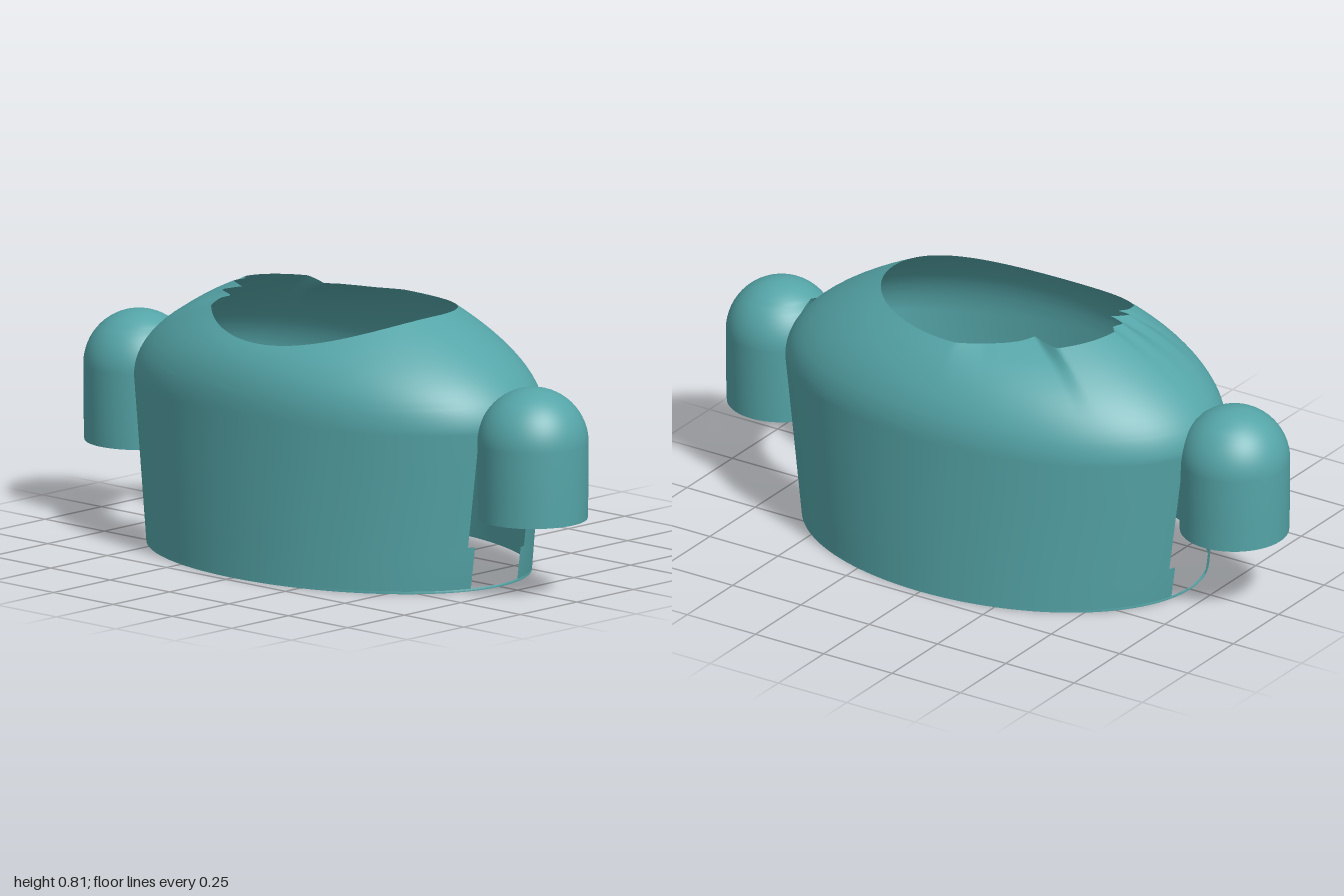
import * as THREE from 'three';
import { mergeVertices, mergeGeometries } from 'three/addons/utils/BufferGeometryUtils.js';

const material = new THREE.MeshStandardMaterial({ color: 0x55a5a8, side: THREE.DoubleSide });
const lerp = THREE.MathUtils.lerp;

// Surface through rows of points; rows go up, columns go round, faces point outward
function surface(rows, columns, point) {
  const positions = [], index = [];
  for (let r = 0; r < rows; r++)
    for (let c = 0; c <= columns; c++) positions.push(...point(r, c / columns));
  for (let r = 0; r < rows - 1; r++)
    for (let c = 0; c < columns; c++) {
      const a = r * (columns + 1) + c, b = a + columns + 1;
      index.push(a, b, a + 1, a + 1, b, b + 1);
    }
  const geometry = new THREE.BufferGeometry();
  geometry.setAttribute('position', new THREE.Float32BufferAttribute(positions, 3));
  geometry.setIndex(index);
  return geometry;
}

// Torn stretch of the neckline: angle in degrees, fraction of the full opening
const tears = [[140, 1], [148, 0.94], [152, 0.86], [158, 0.97], [165, 0.84], [172, 0.98], [178, 0.94],
  [183, 1], [220, 1], [225, 0.72], [235, 0.79], [255, 0.89], [268, 1]];
function tear(degrees) {
  for (let i = 1; i < tears.length; i++) {
    const [a0, f0] = tears[i - 1], [a1, f1] = tears[i];
    if (degrees >= a0 && degrees <= a1) return lerp(f0, f1, (degrees - a0) / (a1 - a0));
  }
  return 1;
}

// Rows of the straight wall: height, armhole edge towards front, towards back
const wallRows = [
  [0, 0, 0], [0.008, 0, 0], [0.008, 0.11, 0.088], [0.11, 0.11, 0.088], [0.11, 0.11, 0.11],
  [0.14, 0.11, 0.11], [0.14, 0.132, 0.11], [0.24, 0.132, 0.11], [0.36, 0.132, 0.11],
].map(([y, front, back]) => ({ y, t: 0, front, back }));

// Rows of the shoulder curve, over which the armhole closes in an arch
const shoulderRows = [0, 0.06, 0.12, 0.18, 0.23, 0.27, 0.3, 0.36, 0.43, 0.5, 0.58, 0.66, 0.74, 0.82, 0.88, 0.94, 1].map(t => {
  const arch = Math.sqrt(Math.max(0, 1 - (t / 0.3) ** 2));
  return { y: 0.5, t, front: 0.132 * arch, back: 0.11 * arch };
});
const bodyRows = [...wallRows, ...shoulderRows];

// Front or back half of the body shell
function bodyHalf(front) {
  return surface(bodyRows.length, 120, (r, u) => {
    const row = bodyRows[r], { y, t } = row;
    const halfWidth = 0.677 + 0.14 * y, halfDepth = 0.47 - 0.03 * y;
    const edge = Math.asin((front ? row.front : row.back) / halfDepth);
    const angle = lerp(edge, Math.PI - edge, u) + (front ? 0 : Math.PI);
    const cos = Math.cos(angle), sin = Math.sin(angle);
    // quadratic curve from the wall to the neckline
    const k = t * t;
    const rimY = 0.805 - (front ? 0.09 : 0.028) * sin * sin;
    const shrink = 1 - (1 - tear(angle * 180 / Math.PI)) * t ** 8;
    const x = cos * lerp(halfWidth, 0.41, k) * shrink;
    const z = sin * lerp(halfDepth, front ? 0.367 : 0.3, k) * shrink;
    const height = (1 - t) ** 2 * y + 2 * t * (1 - t) * 0.645 + k * rimY;
    return [x, t ? height : y, z];
  });
}

// Short domed sleeve, open below and on the side that meets the body
function sleeve(side) {
  const radius = 0.17, centreX = 0.829, domeY = 0.475;
  const rows = [[0.24, 0.167], [0.32, 0.169], [0.4, 0.17]];
  for (let i = 0; i <= 16; i++) {
    const a = i / 16 * Math.PI / 2;
    rows.push([domeY + radius * Math.sin(a), radius * Math.cos(a)]);
  }
  return surface(rows.length, 64, (r, u) => {
    const [y, rad] = rows[r];
    const reach = centreX - (0.685 + 0.09 * (y - 0.24));
    const half = rad > reach ? Math.PI - Math.acos(reach / rad) : Math.PI;
    const phi = side * lerp(-half, half, u);
    return [side * (centreX + rad * Math.cos(phi)), y, 0.014 + rad * Math.sin(phi)];
  });
}

function addPart(group, name, geometry) {
  const welded = mergeVertices(geometry, 1e-4);
  welded.computeVertexNormals();
  const mesh = new THREE.Mesh(welded, material);
  mesh.name = name;
  group.add(mesh);
}

export function createModel() {
  const group = new THREE.Group();
  group.name = 'upperGarment';
  addPart(group, 'bodyShell', mergeGeometries([bodyHalf(true), bodyHalf(false)]));
  addPart(group, 'leftSleeve', sleeve(1));
  addPart(group, 'rightSleeve', sleeve(-1));
  return group;
}
